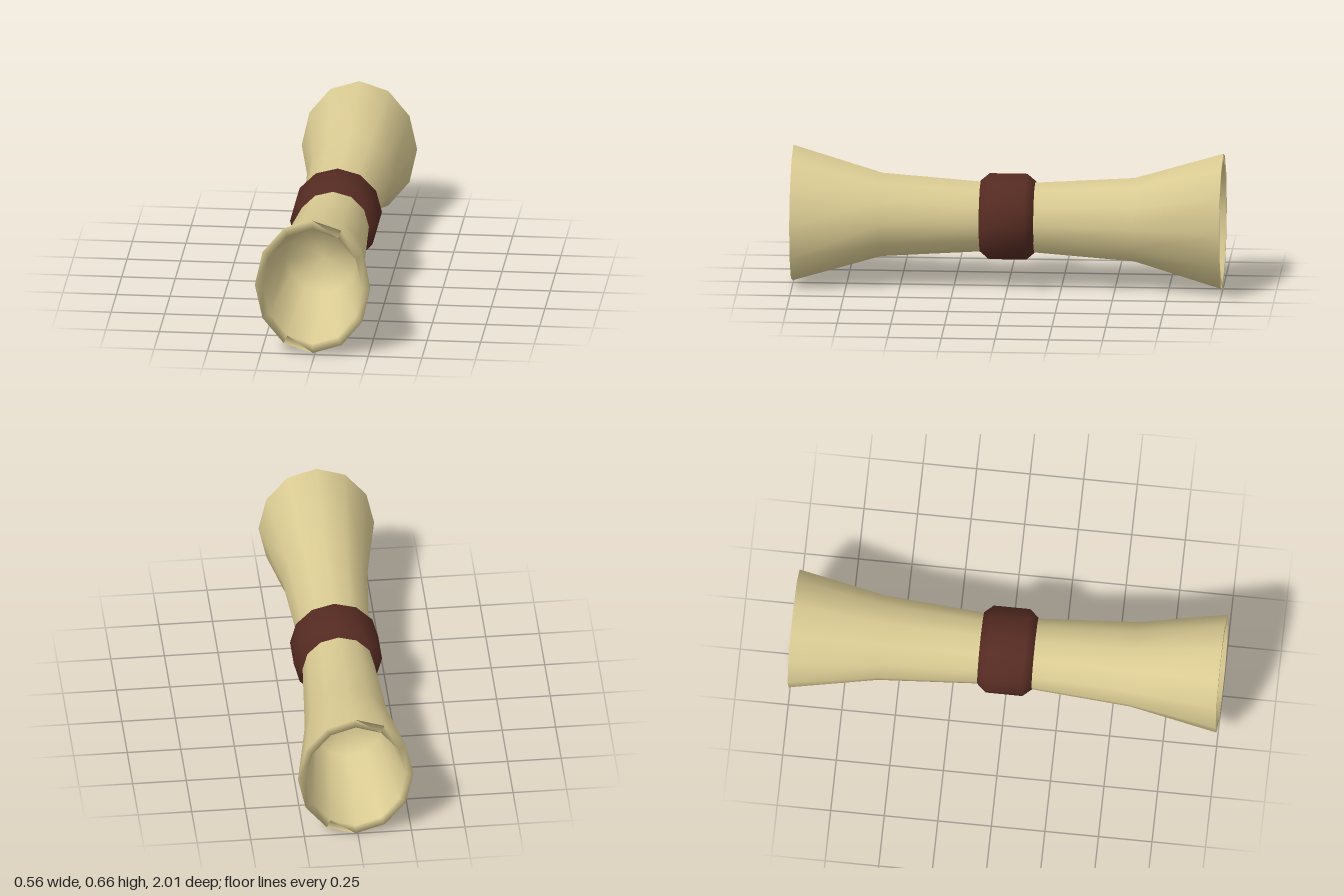
import * as THREE from 'three';
import { mergeVertices } from 'three/addons/utils/BufferGeometryUtils.js';

const SIDES = 12;

// Turned solid laid along z, with smooth normals; squash(z) narrows its width
function turned(profile, squash = () => 1) {
  const points = profile.map(([r, z]) => new THREE.Vector2(r, z));
  let geo = new THREE.LatheGeometry(points, SIDES);
  geo.rotateX(Math.PI / 2);
  geo.deleteAttribute('uv');
  geo.deleteAttribute('normal');
  const pos = geo.attributes.position;
  for (let i = 0; i < pos.count; i++) pos.setX(i, pos.getX(i) * squash(pos.getZ(i)));
  geo = mergeVertices(geo, 1e-4);
  geo.computeVertexNormals();
  return geo;
}

export function createModel() {
  const bone = new THREE.MeshStandardMaterial({ color: 0xd9ca92 });
  bone.name = 'pale bone';
  const leather = new THREE.MeshStandardMaterial({ color: 0x552b22 });
  leather.name = 'dark brown leather';

  const model = new THREE.Group();
  model.name = 'doubleFlaredHandle';

  // Flared tube: outer wall, rim and hollow of one half, mirrored for the other
  const half = [[0.167, 0.12], [0.2, 0.59], [0.325, 1], [0.281, 1], [0.165, 0.6], [0, 0.56]];
  const profile = [...half.map(([r, z]) => [r, -z]).reverse(), ...half];
  const oval = (z) => 1 - 0.17 * THREE.MathUtils.clamp((Math.abs(z) - 0.59) / 0.41, 0, 1);
  const tube = new THREE.Mesh(turned(profile, oval), bone);
  tube.name = 'flaredTube';
  tube.rotation.set(-0.004, -0.01, 0);
  tube.position.y = 0.331;
  model.add(tube);

  // Chamfered band around the waist
  const band = new THREE.Mesh(
    turned([[0.15, -0.125], [0.17, -0.127], [0.206, -0.085], [0.206, 0.085], [0.17, 0.127], [0.15, 0.125]]),
    leather
  );
  band.name = 'waistBand';
  band.position.y = 0.334;
  model.add(band);

  return model;
}
